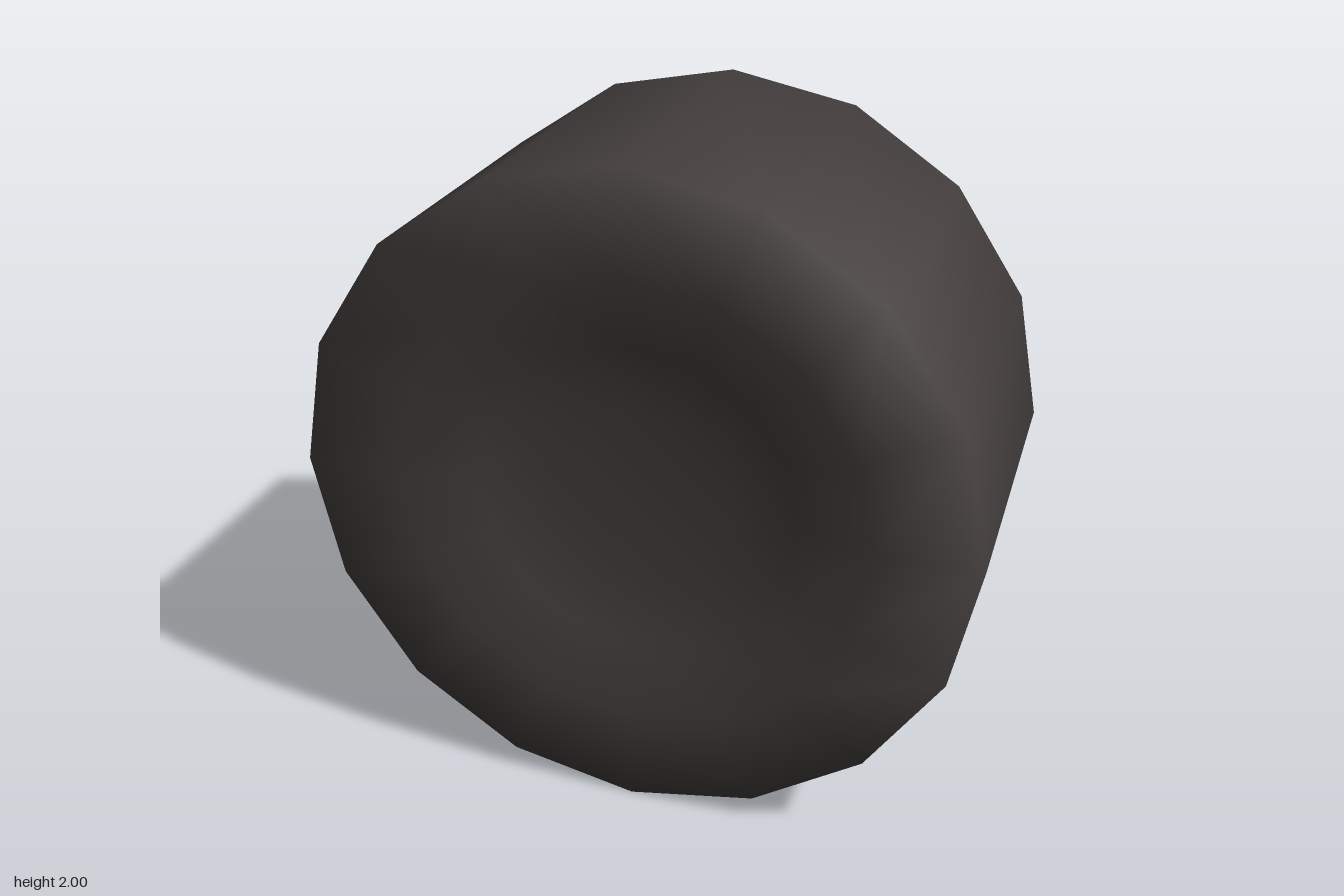
import * as THREE from 'three';

// Cross-sections from the front hub to the back hub: sides, radius, depth, turn.
const TURN = Math.PI / 16;
const RINGS = [
  { sides: 16, r: 0.28, z: 0.4, turn: 0 },
  { sides: 16, r: 0.48, z: 0.43, turn: 0 },
  { sides: 16, r: 0.7, z: 0.495, turn: 0 },
  { sides: 16, r: 1, z: 0.485, turn: 0 },
  { sides: 16, r: 1, z: -0.495, turn: 0 },
  { sides: 8, r: 0.48, z: -0.495, turn: TURN },
  { sides: 8, r: 0.42, z: -0.25, turn: TURN },
];

// Joins the loops into one smooth closed skin.
function skin(rings) {
  const positions = [];
  const index = [];
  const starts = rings.map(({ sides, r, z, turn }) => {
    const start = positions.length / 3;
    for (let i = 0; i < sides; i++) {
      const a = (i / sides) * Math.PI * 2 + turn;
      positions.push(Math.cos(a) * r, Math.sin(a) * r, z);
    }
    return start;
  });
  const at = (k, i) => starts[k] + (i % rings[k].sides);

  for (let k = 0; k < rings.length - 1; k++) {
    const halves = rings[k].sides === 2 * rings[k + 1].sides;
    for (let i = 0; i < rings[k + 1].sides; i++) {
      const b = at(k + 1, i);
      const bNext = at(k + 1, i + 1);
      if (halves) {
        const mid = at(k, 2 * i + 1);
        index.push(at(k, 2 * i), b, mid, mid, b, bNext, mid, bNext, at(k, 2 * i + 2));
      } else {
        index.push(at(k, i), b, bNext, at(k, i), bNext, at(k, i + 1));
      }
    }
  }

  // Close the front dish and the back recess with fans.
  const last = rings.length - 1;
  const front = positions.length / 3;
  positions.push(0, 0, rings[0].z, 0, 0, rings[last].z);
  for (let i = 0; i < rings[0].sides; i++) index.push(front, at(0, i), at(0, i + 1));
  for (let i = 0; i < rings[last].sides; i++) index.push(at(last, i), front + 1, at(last, i + 1));

  const geometry = new THREE.BufferGeometry();
  geometry.setAttribute('position', new THREE.Float32BufferAttribute(positions, 3));
  geometry.setIndex(index);
  geometry.computeVertexNormals();
  return geometry;
}

export function createModel() {
  const rubber = new THREE.MeshStandardMaterial({ color: 0x443e3e });
  rubber.name = 'dark rubber';

  // Wheel: shallow dish at the front, deeper recess at the back
  const wheel = new THREE.Mesh(skin(RINGS), rubber);
  wheel.name = 'wheel';
  wheel.position.y = 1;

  const group = new THREE.Group();
  group.name = 'wheelModel';
  group.add(wheel);
  return group;
}
